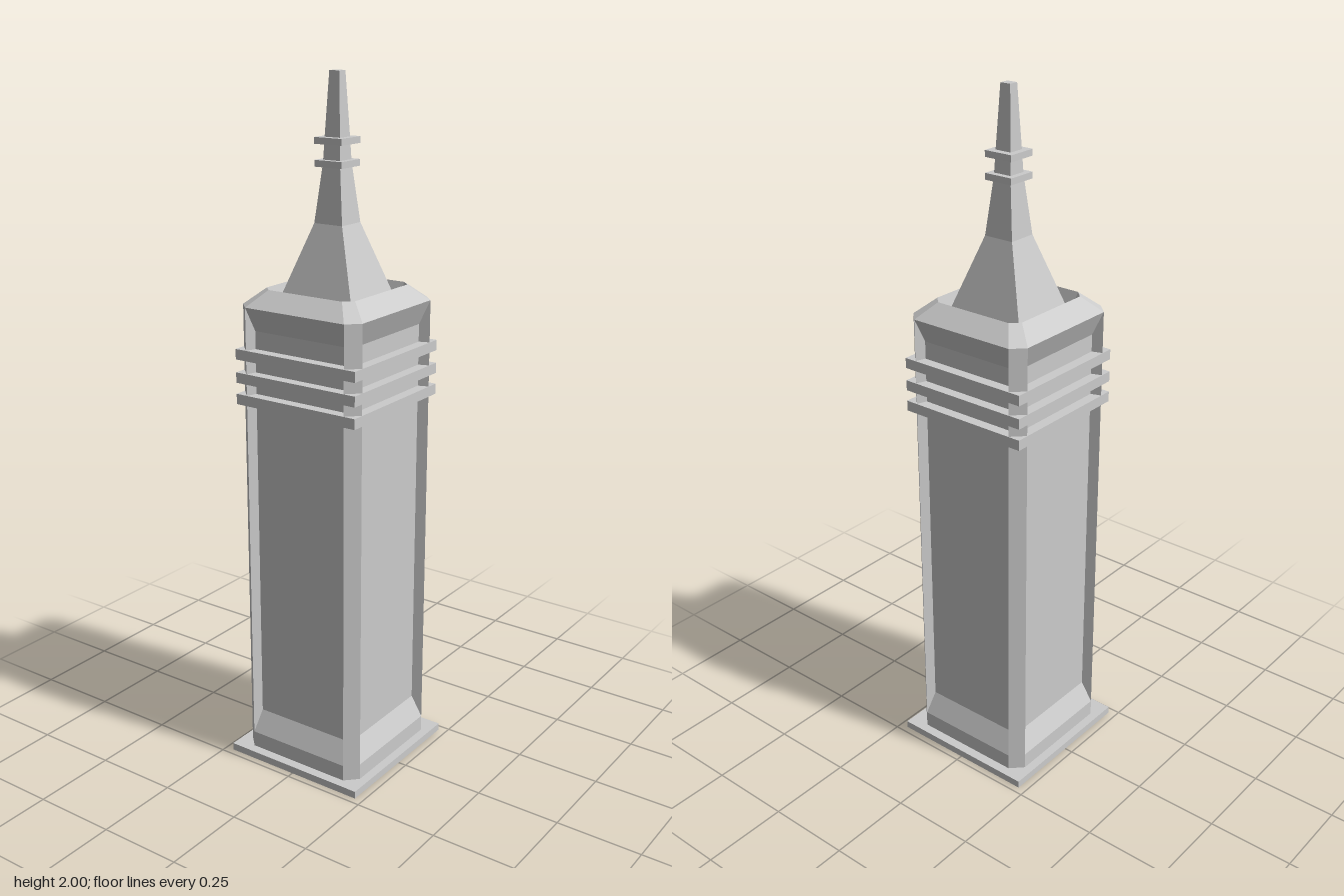
import * as THREE from 'three';

const material = new THREE.MeshStandardMaterial({ color: 0xcccccc, flatShading: true });

// Horizontal outline: rectangle with cut corners; inset > 0 sinks the four sides as panels.
function outline(y, hx, hz, cut, inset = 0) {
  const points = [];
  const reveal = inset / 3;
  for (let side = 0; side < 4; side++) {
    const angle = (side * Math.PI) / 2;
    const along = side % 2 ? hz : hx;
    const out = side % 2 ? hx : hz;
    const outer = along - cut;
    const inner = outer - reveal;
    for (const [u, v] of [[-outer, out], [-inner, out - inset], [inner, out - inset], [outer, out]]) {
      points.push(new THREE.Vector3(u, y, v).applyAxisAngle(new THREE.Vector3(0, 1, 0), angle));
    }
  }
  return points;
}

const rectangle = (y, hx, hz) => [
  new THREE.Vector3(-hx, y, hz),
  new THREE.Vector3(hx, y, hz),
  new THREE.Vector3(hx, y, -hz),
  new THREE.Vector3(-hx, y, -hz),
];

// Skin through matching outlines from bottom to top, closed by a flat cap.
function loft(sections) {
  const positions = [];
  const triangle = (...corners) => corners.forEach((p) => positions.push(p.x, p.y, p.z));
  const n = sections[0].length;
  for (let s = 0; s < sections.length - 1; s++) {
    const low = sections[s];
    const high = sections[s + 1];
    for (let i = 0; i < n; i++) {
      const j = (i + 1) % n;
      triangle(low[i], low[j], high[j]);
      triangle(low[i], high[j], high[i]);
    }
  }
  const top = sections[sections.length - 1];
  for (let i = 1; i < n - 1; i++) triangle(top[0], top[i], top[i + 1]);
  const geometry = new THREE.BufferGeometry();
  geometry.setAttribute('position', new THREE.Float32BufferAttribute(positions, 3));
  geometry.computeVertexNormals();
  return geometry;
}

export function createModel() {
  const model = new THREE.Group();
  model.name = 'tower';

  const add = (name, geometry, y = 0) => {
    const mesh = new THREE.Mesh(geometry, material);
    mesh.name = name;
    mesh.position.y = y;
    model.add(mesh);
  };

  // Ground slab
  add('baseSlab', new THREE.BoxGeometry(0.45, 0.022, 0.46), 0.011);

  // Shaft with sunken panels, sloped parapet and recessed roof floor
  add('shaft', loft([
    outline(0.022, 0.199, 0.202, 0.035),
    outline(0.07, 0.199, 0.202, 0.035),
    outline(0.135, 0.199, 0.202, 0.035, 0.03),
    outline(1.31, 0.199, 0.202, 0.035, 0.03),
    outline(1.38, 0.199, 0.202, 0.035),
    outline(1.425, 0.147, 0.151, 0.025),
    outline(1.365, 0.13, 0.133, 0.021),
  ]));

  // Square bands around the upper shaft
  for (const y of [1.115, 1.177, 1.244]) {
    add('band', new THREE.BoxGeometry(0.4, 0.03, 0.406), y);
  }

  // Tapering spire
  add('spire', loft([
    rectangle(1.365, 0.13, 0.112),
    rectangle(1.6, 0.046, 0.043),
    rectangle(1.76, 0.028, 0.027),
    rectangle(1.83, 0.025, 0.023),
    rectangle(2, 0.016, 0.014),
  ]));

  // Collars on the spire
  for (const y of [1.76, 1.82]) {
    add('spireCollar', new THREE.BoxGeometry(0.088, 0.018, 0.088), y);
  }

  return model;
}
